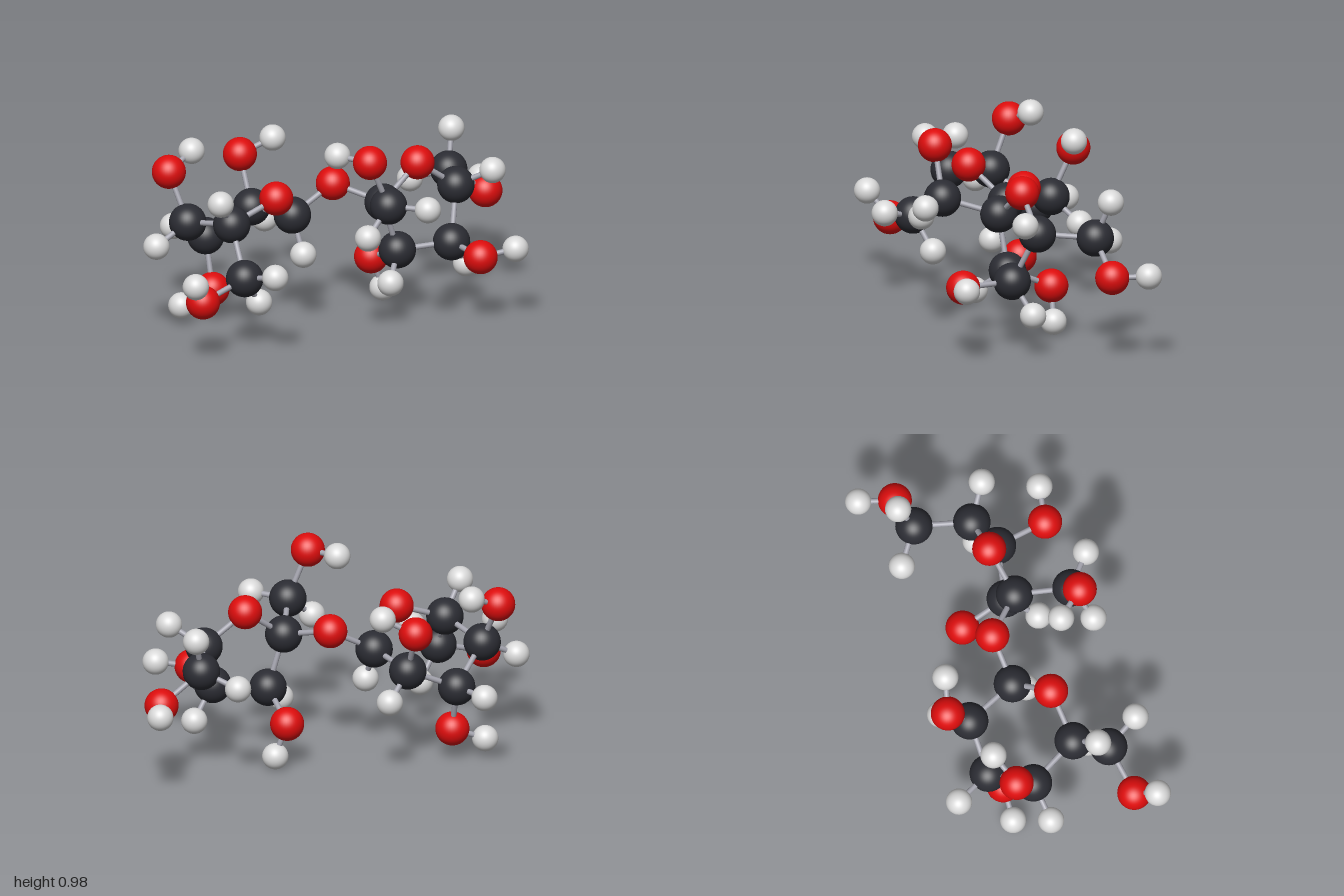
import * as THREE from 'three';

// Ball-and-stick molecule: two rings joined by a bridging oxygen
const ATOMS = {
  carbon: [
    [-0.73, 0.55, -0.138], [-0.61, 0.6, 0.107], [-0.622, 0.385, 0.283],
    [-0.56, 0.402, -0.306], [-0.317, 0.511, -0.313], [-0.217, 0.536, -0.06],
    [0.188, 0.593, 0.097], [0.101, 0.669, 0.352], [0.27, 0.334, 0.079],
    [0.53, 0.354, 0.133], [0.6, 0.599, 0.028], [0.682, 0.58, -0.236],
  ],
  oxygen: [
    [-0.782, 0.779, -0.242], [-0.366, 0.688, 0.083], [-0.326, 0.742, -0.427],
    [0.005, 0.658, -0.082], [0, 0.905, 0.36], [0.393, 0.747, 0.042],
    [0.885, 0.435, -0.26], [0.567, 0.353, 0.388], [0.236, 0.231, -0.15],
    [-0.559, 0.157, -0.229], [-0.86, 0.313, 0.327],
  ],
  hydrogen: [
    [-0.634, 0.843, -0.306], [-0.709, 0.745, 0.198], [-0.174, 0.817, -0.385],
    [-0.11, 0.913, 0.226], [0.249, 0.668, 0.481], [-0.036, 0.546, 0.417],
    [0.725, 0.762, -0.301], [0.746, 0.685, 0.131], [0.531, 0.518, -0.352],
    [0.935, 0.442, -0.428], [0.736, 0.381, 0.42], [0.639, 0.206, 0.061],
    [0.174, 0.222, 0.213], [0.293, 0.068, -0.144], [-0.2, 0.4, -0.421],
    [-0.195, 0.357, 0.018], [-0.516, 0.228, 0.216], [-0.537, 0.43, 0.45],
    [-0.939, 0.432, 0.418], [-0.906, 0.46, -0.112], [-0.719, 0.094, -0.237],
    [-0.65, 0.405, -0.487],
  ],
};

const RADIUS = { carbon: 0.0895, oxygen: 0.0815, hydrogen: 0.063 };
const COLOR = { carbon: 0x2b2c33, oxygen: 0xdd0d0d, hydrogen: 0xd9d9d9 };
const BOND_RADIUS = 0.0135;

function makeMaterial(name, color) {
  const material = new THREE.MeshStandardMaterial({ color });
  material.name = name;
  return material;
}

// Thin rod between two atom centres
function makeBond(a, b, material) {
  const dir = b.clone().sub(a);
  const geometry = new THREE.CylinderGeometry(BOND_RADIUS, BOND_RADIUS, dir.length(), 16, 1, true);
  const rod = new THREE.Mesh(geometry, material);
  rod.position.copy(a).add(b).multiplyScalar(0.5);
  rod.quaternion.setFromUnitVectors(new THREE.Vector3(0, 1, 0), dir.normalize());
  rod.name = 'bond';
  return rod;
}

export function createModel() {
  const model = new THREE.Group();
  model.name = 'molecule';
  const all = [];

  // Atoms, one group per element
  for (const [kind, places] of Object.entries(ATOMS)) {
    const group = new THREE.Group();
    group.name = kind + 'Atoms';
    const geometry = new THREE.SphereGeometry(RADIUS[kind], 40, 28);
    const material = makeMaterial(kind, COLOR[kind]);
    for (const place of places) {
      const atom = new THREE.Mesh(geometry, material);
      atom.name = kind + 'Atom';
      atom.position.set(...place);
      group.add(atom);
      all.push({ kind, position: atom.position });
    }
    model.add(group);
  }

  // Bonds join every pair of atoms that lie close enough
  const bonds = new THREE.Group();
  bonds.name = 'bonds';
  const bondMaterial = makeMaterial('bond grey', 0xa3a3ad);
  all.forEach((a, i) => {
    for (const b of all.slice(i + 1)) {
      const hydrogens = [a, b].filter((atom) => atom.kind === 'hydrogen').length;
      const reach = [0.32, 0.25, 0][hydrogens];
      if (a.position.distanceTo(b.position) < reach) {
        bonds.add(makeBond(a.position, b.position, bondMaterial));
      }
    }
  });
  model.add(bonds);
  return model;
}
